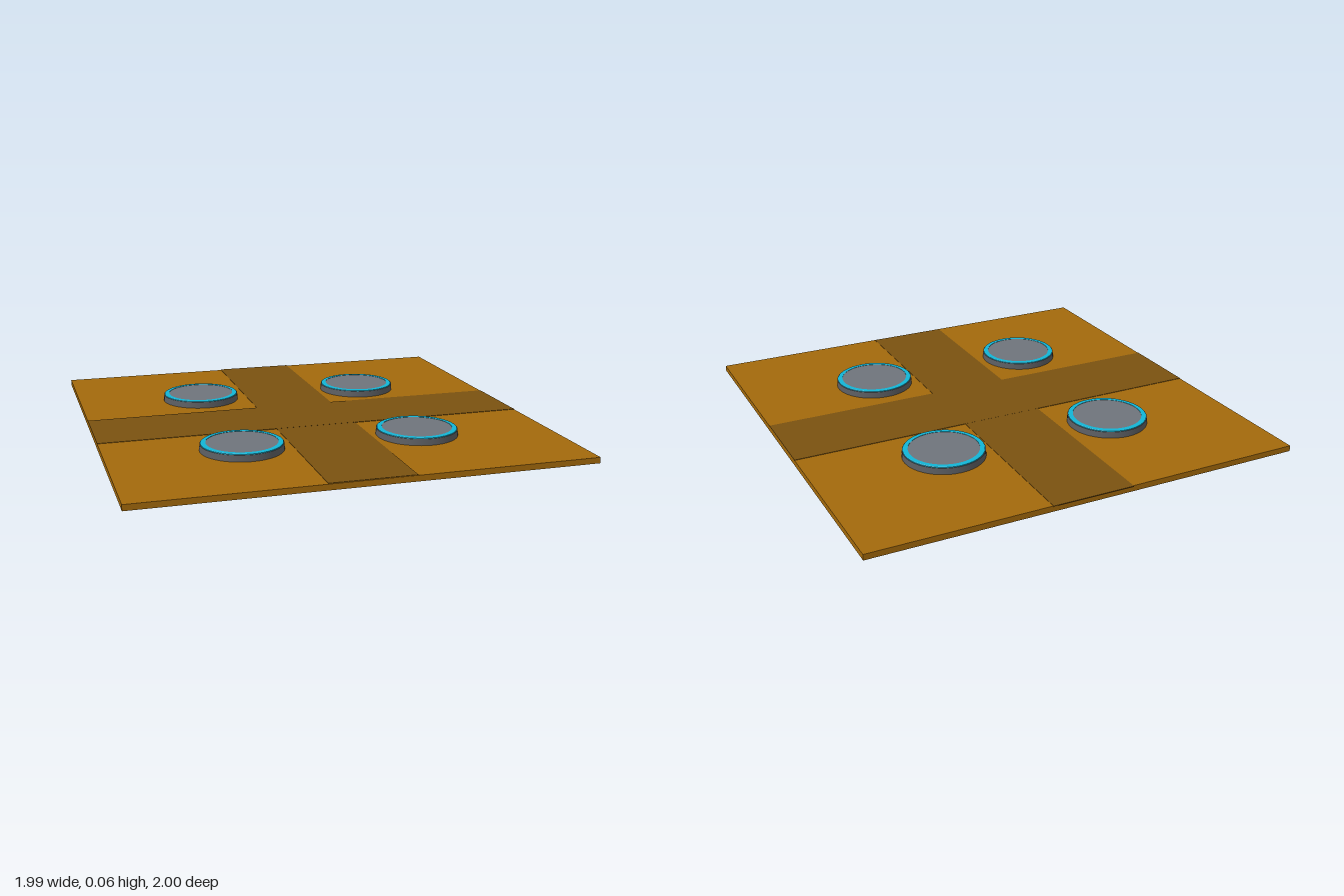
import * as THREE from 'three';

const mat = (color) => new THREE.MeshStandardMaterial({ color });

function addMesh(parent, name, geometry, material, x, y, z) {
  const mesh = new THREE.Mesh(geometry, material);
  mesh.name = name;
  mesh.position.set(x, y, z);
  parent.add(mesh);
  return mesh;
}

export function createModel() {
  const model = new THREE.Group();
  model.name = 'boardWithDiscs';

  const ochre = mat(0xa3690b);
  const brown = mat(0x7a5210);
  const darkGrey = mat(0x5c5e62);
  const grey = mat(0x6f747b);
  const cyan = mat(0x12b5d6);

  // Square base plate
  const plateTop = 0.026;
  addMesh(model, 'basePlate', new THREE.BoxGeometry(1.99, plateTop, 1.99), ochre, 0, plateTop / 2, 0);

  // Two crossing bands lying on the plate; the long one is very slightly turned
  const bandH = 0.004;
  addMesh(model, 'crossBand', new THREE.BoxGeometry(1.99, bandH, 0.375), brown, 0, plateTop, 0.02);
  const band = addMesh(model, 'lengthBand', new THREE.BoxGeometry(0.375, bandH, 1.99), brown, 0, plateTop - 0.0003, -0.005);
  band.rotation.y = -0.0075;

  // Raised discs: dark body, bright rim and grey cap
  const bodyGeo = new THREE.CylinderGeometry(0.181, 0.183, 0.03, 48);
  const rimGeo = new THREE.LatheGeometry([
    [0.156, 0.052], [0.178, 0.052], [0.178, 0.058], [0.175, 0.06], [0.156, 0.06], [0.156, 0.052],
  ].map(([r, y]) => new THREE.Vector2(r, y)), 48).toNonIndexed();
  rimGeo.computeVertexNormals();
  const capGeo = new THREE.CylinderGeometry(0.157, 0.157, 0.01, 48);

  const centres = [[-0.41, -0.42], [0.4, -0.4], [-0.41, 0.455], [0.39, 0.455]];
  for (const [x, z] of centres) {
    const disc = new THREE.Group();
    disc.name = 'disc';
    disc.position.set(x, 0, z);
    addMesh(disc, 'discBody', bodyGeo, darkGrey, 0, 0.04, 0);
    addMesh(disc, 'discRim', rimGeo, cyan, 0, 0, 0);
    addMesh(disc, 'discCap', capGeo, grey, 0, 0.0535, 0);
    model.add(disc);
  }

  return model;
}
